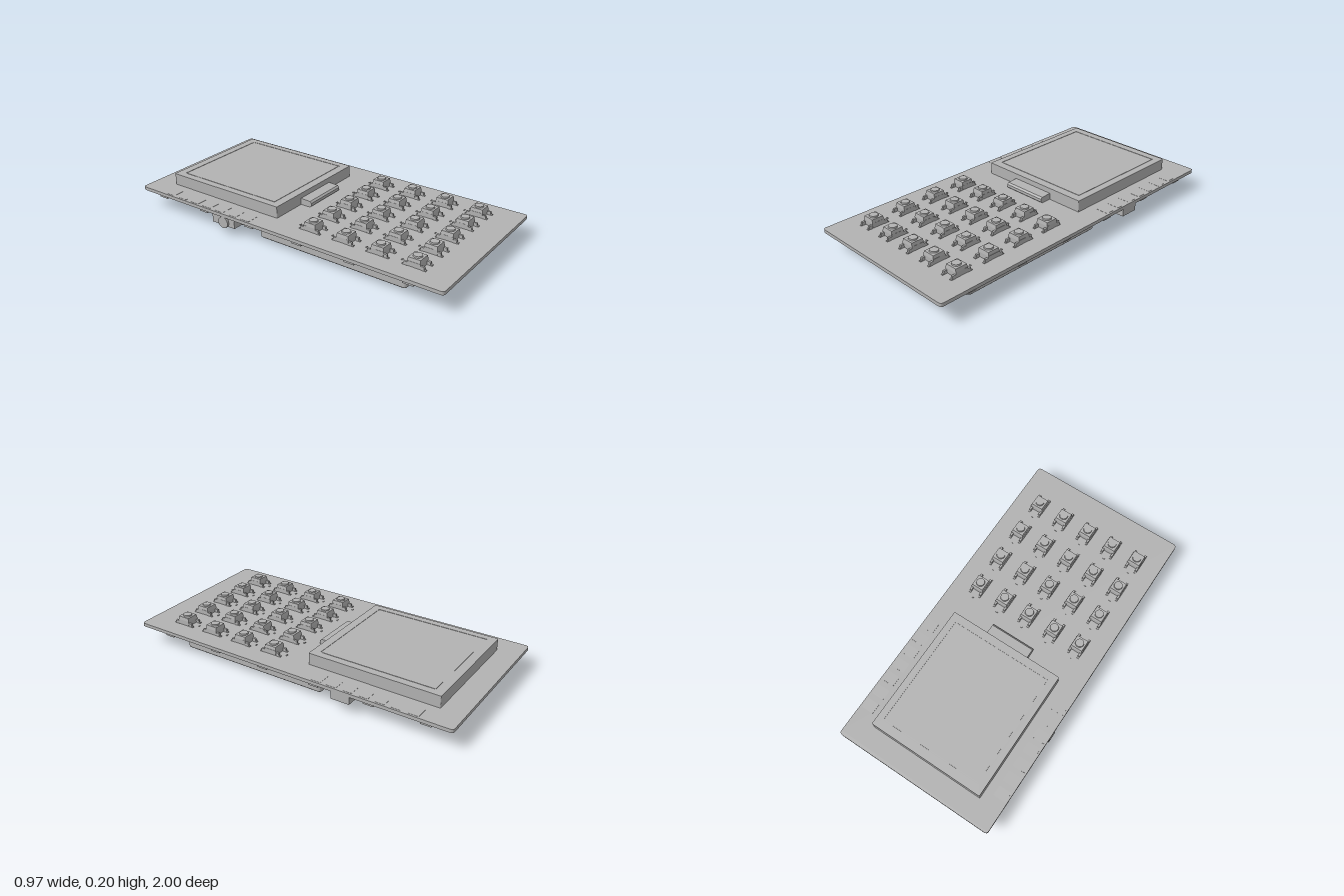
import * as THREE from 'three';

const grey = new THREE.MeshStandardMaterial({ color: 0xb2b2b2 });
grey.name = 'plain grey';

function add(parent, name, geometry, x = 0, y = 0, z = 0) {
  const mesh = new THREE.Mesh(geometry, grey);
  mesh.name = name;
  mesh.position.set(x, y, z);
  parent.add(mesh);
  return mesh;
}

// Box given by its limits on each axis
function block(parent, name, x0, x1, y0, y1, z0, z1) {
  return add(parent, name, new THREE.BoxGeometry(x1 - x0, y1 - y0, z1 - z0),
    (x0 + x1) / 2, (y0 + y1) / 2, (z0 + z1) / 2);
}

function roundedRect(target, w, d, r) {
  const a = w / 2, b = d / 2;
  target.moveTo(-a + r, -b).lineTo(a - r, -b).quadraticCurveTo(a, -b, a, -b + r)
    .lineTo(a, b - r).quadraticCurveTo(a, b, a - r, b)
    .lineTo(-a + r, b).quadraticCurveTo(-a, b, -a, b - r)
    .lineTo(-a, -b + r).quadraticCurveTo(-a, -b, -a + r, -b);
  return target;
}

// Flat slab with rounded corners, its base at y = 0
function slab(w, d, h, r, bevel = 0, hole = null) {
  const shape = roundedRect(new THREE.Shape(), w - 2 * bevel, d - 2 * bevel, r);
  if (hole) shape.holes.push(roundedRect(new THREE.Path(), hole[0], hole[1], 0.005));
  const g = new THREE.ExtrudeGeometry(shape, {
    depth: h - 2 * bevel, bevelEnabled: bevel > 0, bevelThickness: bevel,
    bevelSize: bevel, bevelSegments: 1, curveSegments: 4,
  });
  return g.translate(0, 0, bevel).rotateX(-Math.PI / 2);
}

// Side profile of [z, y] points drawn out along x
function profileBar(points, x0, x1) {
  const shape = new THREE.Shape(points.map(([z, y]) => new THREE.Vector2(-z, y)));
  const g = new THREE.ExtrudeGeometry(shape, { depth: x1 - x0, bevelEnabled: false });
  return g.rotateY(Math.PI / 2).translate(x0, 0, 0);
}

function makeButton() {
  const button = new THREE.Group();
  button.name = 'keyButton';
  add(button, 'buttonBase', new THREE.BoxGeometry(0.078, 0.028, 0.076), 0, 0.016, 0);
  const cover = new THREE.CylinderGeometry(0.049, 0.054, 0.02, 4).toNonIndexed();
  cover.rotateY(Math.PI / 4);
  cover.computeVertexNormals();
  add(button, 'buttonCover', cover, 0, 0.039, 0);
  add(button, 'plunger', new THREE.CylinderGeometry(0.024, 0.026, 0.012, 20), 0, 0.051, 0);
  for (const sx of [-1, 1]) {
    for (const sz of [-1, 1]) {
      block(button, 'buttonLeg', sx * 0.032 - 0.006, sx * 0.032 + 0.006, 0, 0.02,
        sz * 0.048 - 0.01, sz * 0.048 + 0.01);
      block(button, 'buttonFoot', sx * 0.032 - 0.006, sx * 0.032 + 0.006, 0, 0.005,
        sz * 0.06 - 0.007, sz * 0.06 + 0.007);
    }
  }
  block(button, 'solderPin', -0.006, 0.006, 0, 0.004, -0.088, -0.082);
  return button;
}

export function createModel() {
  const model = new THREE.Group();
  model.name = 'handheldKeypadBoard';

  // Circuit board
  add(model, 'circuitBoard', slab(0.97, 2, 0.02, 0.02), 0, 0.11, 0);

  // Display and its folded ribbon
  add(model, 'displayBody', slab(0.7, 0.775, 0.066, 0.006), 0, 0.13, -0.48);
  add(model, 'displayFrame', slab(0.7, 0.775, 0.002, 0.006, 0, [0.62, 0.68]), 0, 0.196, -0.48);
  add(model, 'displayGlass', slab(0.61, 0.67, 0.002, 0.005), 0, 0.196, -0.48);
  add(model, 'displayRibbon', profileBar([[-0.1, 0.13], [-0.03, 0.13], [-0.02, 0.138],
    [-0.02, 0.155], [-0.03, 0.165], [-0.1, 0.168]], -0.135, 0.135));

  // Key grid, five by four
  for (let row = 0; row < 4; row++) {
    for (let col = 0; col < 5; col++) {
      const button = makeButton();
      button.position.set((col - 2) * 0.168, 0.13, 0.145 + row * 0.21);
      model.add(button);
    }
  }

  for (const s of [-1, 1]) {
    // Contact pads beside the display
    for (let i = 0; i < 7; i++) {
      add(model, 'contactPad', slab(0.075, 0.06, 0.001, 0.006), s * 0.437, 0.13, -0.22 - i * 0.094);
    }
    // Small lamps along the underside edges
    for (const z of [-0.85, -0.53, -0.2, 0.13, 0.46, 0.8]) {
      block(model, 'edgeLamp', s * 0.44 - 0.028, s * 0.44 + 0.028, 0.09, 0.11, z - 0.03, z + 0.03);
    }
    // Large chips near the back and connectors near the front
    add(model, 'rearChip', slab(0.22, 0.18, 0.045, 0.05, 0.005), s * 0.235, 0.065, -0.825);
    block(model, 'frontConnector', s * 0.28 - 0.08, s * 0.28 + 0.08, 0.09, 0.11, 0.86, 0.97);
  }

  // Battery pack under the keys
  add(model, 'batteryPack', slab(0.77, 0.935, 0.1, 0.015, 0.006), 0, 0, 0.277);
  block(model, 'batteryPad', -0.36, 0.36, 0.095, 0.11, -0.17, 0.73);

  // Rear port
  block(model, 'rearPort', -0.11, 0.06, 0.095, 0.11, -0.96, -0.77);

  // Square module with a round centre
  add(model, 'moduleFrame', slab(0.14, 0.13, 0.025, 0.01, 0, [0.1, 0.09]), 0, 0.085, -0.53);
  add(model, 'moduleHub', new THREE.CylinderGeometry(0.03, 0.03, 0.03, 20), 0, 0.095, -0.53);

  // Raised box beside the module
  block(model, 'relayBox', 0.21, 0.33, 0.06, 0.11, -0.49, -0.38);

  // Sloping holder across the board
  add(model, 'slopingHolder', profileBar([[-0.21, 0.11], [-0.21, 0.055], [-0.26, 0.045],
    [-0.36, 0.012], [-0.385, 0.02], [-0.385, 0.045], [-0.33, 0.06], [-0.33, 0.11]], -0.36, 0.19));

  // Side switch and side wheel
  block(model, 'sideSwitch', 0.385, 0.485, 0.066, 0.11, -0.43, -0.32);
  block(model, 'wheelMount', -0.47, -0.36, 0.052, 0.11, -0.46, -0.3);
  const wheel = new THREE.CylinderGeometry(0.034, 0.034, 0.012, 20).rotateZ(Math.PI / 2);
  add(model, 'sideWheel', wheel, -0.479, 0.077, -0.37);

  return model;
}
